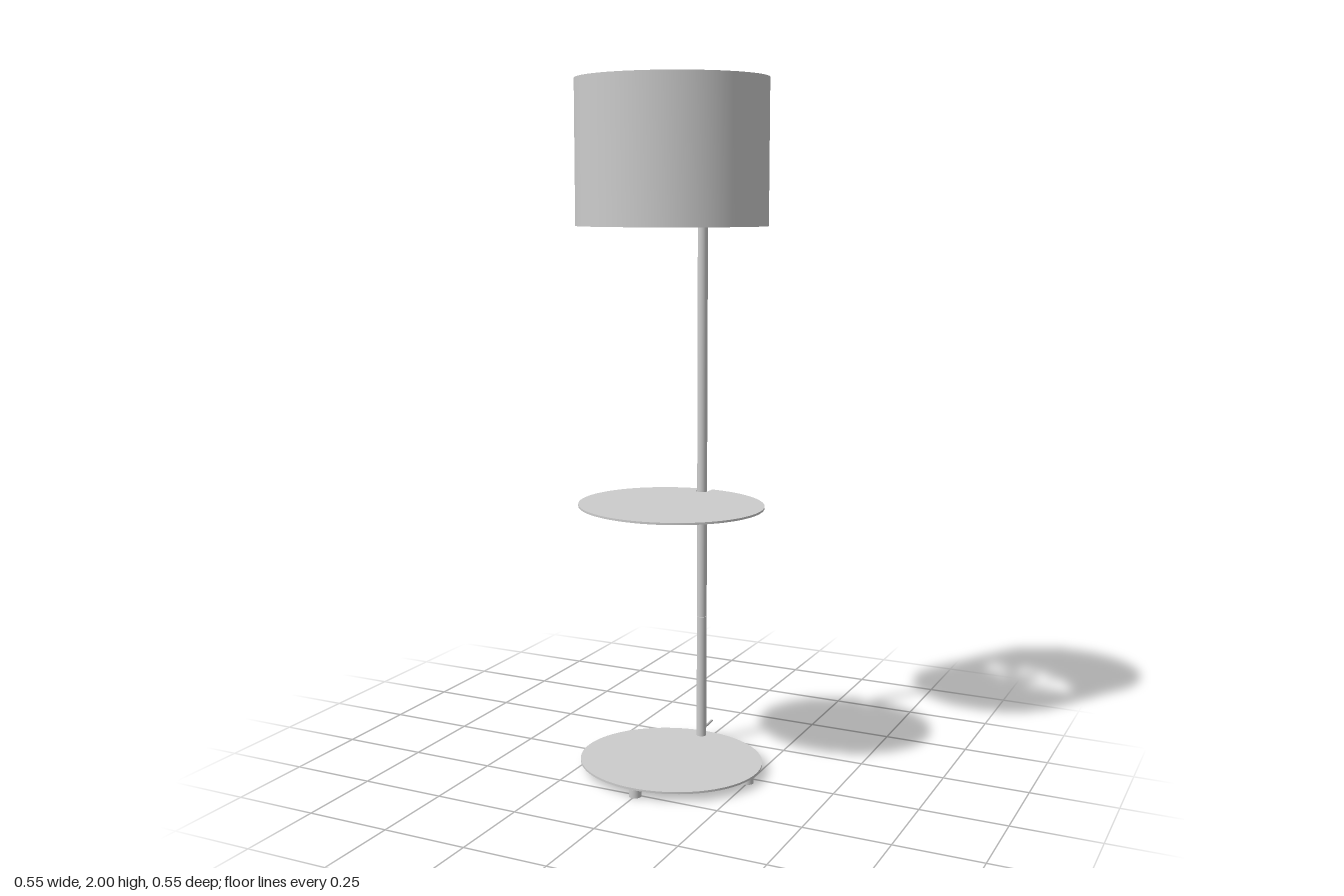
import * as THREE from 'three';
import { toCreasedNormals } from 'three/addons/utils/BufferGeometryUtils.js';

export function createModel() {
  const model = new THREE.Group();
  model.name = 'floorLamp';
  const grey = new THREE.MeshStandardMaterial({ color: 0xcccccc });
  grey.name = 'light grey';

  const CZ = 0.02;      // centre of shade
  const POLE_Z = -0.19; // pole stands near the back edge

  const add = (name, geometry, x = 0, y = 0, z = 0) => {
    const mesh = new THREE.Mesh(geometry, grey);
    mesh.name = name;
    mesh.position.set(x, y, z);
    model.add(mesh);
    return mesh;
  };

  // Upright cylinder between two heights
  const post = (name, r, y0, y1, x, z, sides = 24) =>
    add(name, new THREE.CylinderGeometry(r, r, y1 - y0, sides), x, (y0 + y1) / 2, z);

  // Straight round rod between two points
  const rod = (name, a, b, r, sides = 10) => {
    const from = new THREE.Vector3(...a), to = new THREE.Vector3(...b);
    const dir = to.clone().sub(from);
    const mesh = add(name, new THREE.CylinderGeometry(r, r, dir.length(), sides));
    mesh.position.copy(from).add(to).multiplyScalar(0.5);
    mesh.quaternion.setFromUnitVectors(new THREE.Vector3(0, 1, 0), dir.normalize());
    return mesh;
  };

  // Flat shape (x, -z) raised upward by a height
  const raise = (shape, height) => {
    const g = new THREE.ExtrudeGeometry(shape, { depth: height, bevelEnabled: false, curveSegments: 56 });
    g.rotateX(-Math.PI / 2);
    return toCreasedNormals(g, 0.6);
  };

  // Oval base plate
  const base = new THREE.Shape();
  base.absellipse(0, -0.025, 0.273, 0.25, 0, Math.PI * 2);
  add('basePlate', raise(base, 0.006), 0, 0.024, 0);

  // Oval shelf with a slot that clears the pole
  const shelf = new THREE.Shape();
  const slot = 0.018, a = slot / 0.273;
  shelf.absellipse(0, -0.025, 0.273, 0.25, Math.PI / 2 + a, Math.PI * 2.5 - a);
  shelf.lineTo(slot, -POLE_Z);
  shelf.absarc(0, -POLE_Z, slot, 0, Math.PI, true);
  shelf.closePath();
  add('shelf', raise(shelf, 0.006), 0, 0.794, 0);

  // Feet
  for (const [x, z] of [[0, 0.258], [0, -0.205], [0.248, 0.03], [-0.248, 0.03]])
    post('foot', 0.018, 0, 0.024, x, z);

  // Pole in two lengths, and the arm carrying the lamp holder
  post('lowerPole', 0.015, 0.03, 0.41, 0, POLE_Z);
  post('upperPole', 0.015, 0.411, 1.68, 0, POLE_Z);
  rod('arm', [0, 1.66, POLE_Z], [0, 1.66, 0.03], 0.013, 20);

  // Power cord stub at the back
  rod('cord', [0, 0.046, POLE_Z], [-0.005, 0.046, -0.278], 0.004);

  // Lamp holder and bulb
  const holder = [[0, 1.655], [0.018, 1.655], [0.02, 1.7], [0.017, 1.73], [0, 1.73]];
  const bulb = [[0.014, 1.73], [0.018, 1.745], [0.03, 1.775], [0.033, 1.797],
    [0.03, 1.815], [0.018, 1.828], [0, 1.833]];
  const lathe = pts => toCreasedNormals(
    new THREE.LatheGeometry(pts.map(p => new THREE.Vector2(...p)), 28), 0.7);
  add('lampHolder', lathe(holder), 0, 0, CZ);
  add('bulb', lathe(bulb), 0, 0, CZ);

  // Wire harp arching from the holder up to the spokes
  const harp = new THREE.CatmullRomCurve3([
    [-0.016, 1.69], [-0.06, 1.71], [-0.092, 1.79], [-0.085, 1.88], [-0.05, 1.94], [0, 1.96],
    [0.05, 1.94], [0.085, 1.88], [0.092, 1.79], [0.06, 1.71], [0.016, 1.69],
  ].map(([x, y]) => new THREE.Vector3(x, y, -0.03 * x)));
  add('harp', new THREE.TubeGeometry(harp, 60, 0.004, 8), 0, 0, CZ);

  // Spokes and finial
  const hubY = 1.972;
  for (const [x, z] of [[0.271, CZ], [-0.271, CZ], [0, 0.27], [0, -0.231]])
    rod('spoke', [0, hubY, CZ], [x, hubY, z], 0.003, 8);
  post('finial', 0.017, 1.958, 1.985, 0, CZ);

  // Open oval shade
  const shade = new THREE.Shape();
  shade.absellipse(0, -CZ, 0.275, 0.255, 0, Math.PI * 2);
  const opening = new THREE.Path();
  opening.absellipse(0, -CZ, 0.268, 0.248, 0, Math.PI * 2);
  shade.holes.push(opening);
  add('shade', raise(shade, 0.405), 0, 1.595, 0);

  return model;
}
